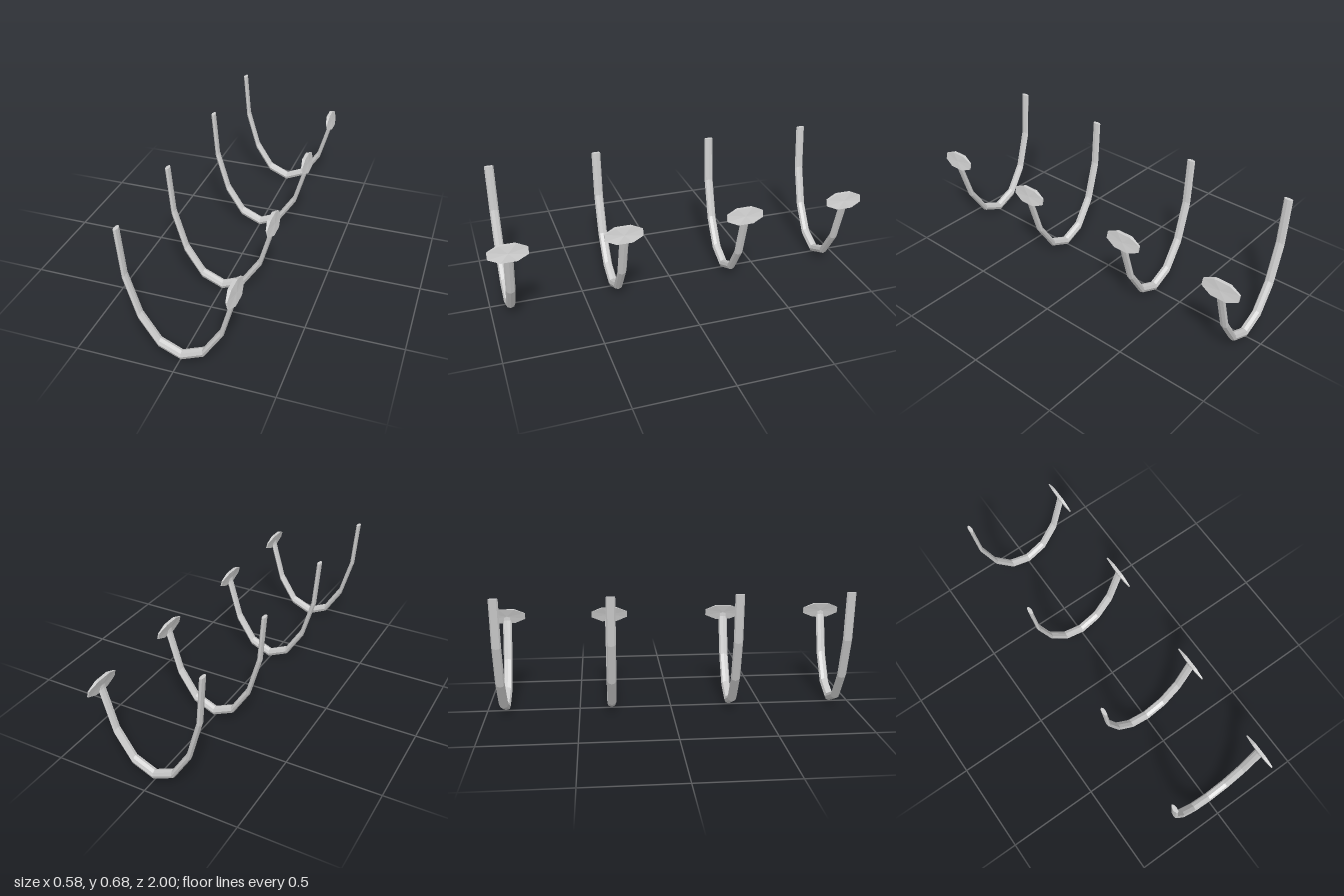
import * as THREE from 'three';

const SIDES = 8;
const R = 0.0245;      // rod radius
const SQUASH = 0.43;   // the hook is flattened across x

// Rod centreline: x, y, tilt of the section in degrees
const PATH = [
  [-0.282, 0.685, 90], [-0.26, 0.433, 66], [-0.197, 0.22, 45], [-0.105, 0.077, 20],
  [0.005, 0.0275, 0], [0.117, 0.077, -20], [0.209, 0.22, -45], [0.271, 0.436, -66],
  [0.273, 0.462, -66],
];

// Bent octagonal rod lofted through the tilted sections, capped at both ends
function rodGeometry() {
  const pos = [], idx = [];
  for (const [x, y, deg] of PATH) {
    const a = THREE.MathUtils.degToRad(deg);
    for (let j = 0; j < SIDES; j++) {
      const t = (j / SIDES) * Math.PI * 2, c = R * Math.cos(t);
      pos.push(x + SQUASH * Math.sin(a) * c, y + Math.cos(a) * c, R * Math.sin(t));
    }
  }
  const last = (PATH.length - 1) * SIDES;
  for (let i = 0; i < last; i += SIDES) {
    for (let j = 0; j < SIDES; j++) {
      const k = (j + 1) % SIDES;
      idx.push(i + j, i + k, i + SIDES + j, i + k, i + SIDES + k, i + SIDES + j);
    }
  }
  for (let j = 1; j < SIDES - 1; j++) {
    idx.push(0, j + 1, j, last, last + j, last + j + 1);
  }
  const g = new THREE.BufferGeometry();
  g.setAttribute('position', new THREE.Float32BufferAttribute(pos, 3));
  g.setIndex(idx);
  g.computeVertexNormals();
  return g;
}

// Wide, tilted octagonal plate that thins towards its two tips
function plateGeometry() {
  const g = new THREE.CylinderGeometry(1, 1, 2, SIDES, 1, false, Math.PI / 8);
  g.rotateZ(-Math.PI / 2); // axis along +x
  const p = g.attributes.position;
  const flat = Math.cos(Math.PI / 8);
  for (let i = 0; i < p.count; i++) {
    const side = p.getX(i), v = p.getY(i) / flat, w = p.getZ(i) / flat;
    const half = Math.abs(w) > 0.9 ? 0.004 : 0.009;
    p.setXYZ(i, 0.272 - 0.0102 * v + side * half, 0.467 + 0.041 * v, 0.1 * w);
  }
  g.computeVertexNormals();
  return g;
}

export function createModel() {
  const model = new THREE.Group();
  model.name = 'hookSet';
  const mat = new THREE.MeshStandardMaterial({ color: 0xcccccc, flatShading: true });
  const rodGeo = rodGeometry(), plateGeo = plateGeometry();

  // Four identical hooks in a row
  for (const z of [-0.9, -0.326, 0.326, 0.9]) {
    const hook = new THREE.Group();
    hook.name = 'hook';
    const rod = new THREE.Mesh(rodGeo, mat);
    rod.name = 'rod';
    const plate = new THREE.Mesh(plateGeo, mat);
    plate.name = 'endPlate';
    hook.add(rod, plate);
    hook.position.z = z;
    model.add(hook);
  }
  return model;
}
